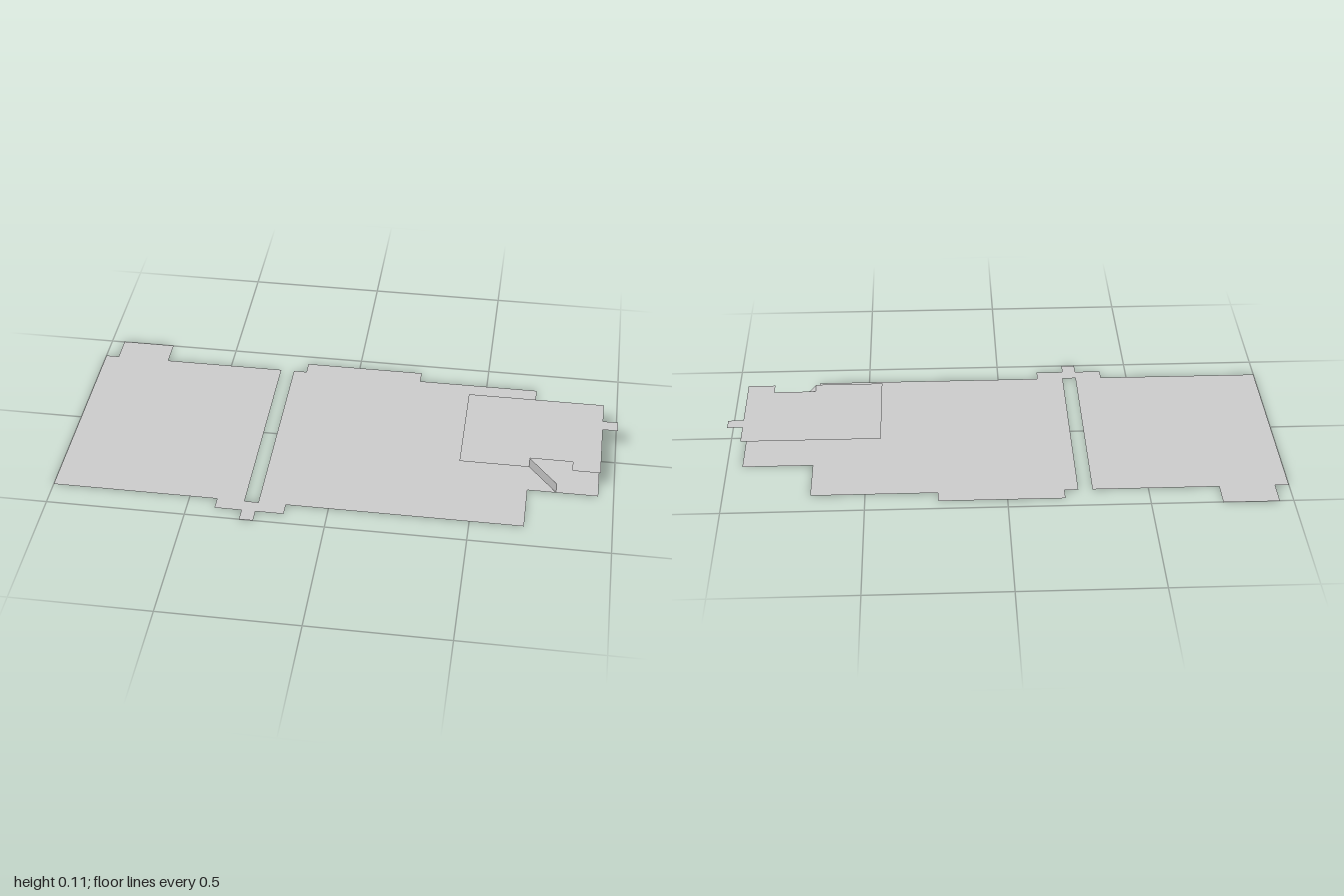
import * as THREE from 'three';

const material = new THREE.MeshStandardMaterial({
  color: 0xcccccc, side: THREE.DoubleSide, flatShading: true,
});

// Flat horizontal sheet from an outline of [x, z] points at height y
function sheet(name, points, y = 0) {
  const shape = new THREE.Shape(points.map(([x, z]) => new THREE.Vector2(x, -z)));
  const mesh = new THREE.Mesh(new THREE.ShapeGeometry(shape).rotateX(-Math.PI / 2), material);
  mesh.name = name;
  mesh.position.y = y;
  return mesh;
}

// Corners of a rectangle in x and z, counter-clockwise seen from above
const rect = (x0, x1, z0, z1) => [[x0, z1], [x1, z1], [x1, z0], [x0, z0]];

export function createModel() {
  const model = new THREE.Group();
  model.name = 'floorPlan';
  const upperY = 0.107;

  // Ground-level floors, with a narrow gap between the two large rooms
  model.add(
    sheet('sideRoomFloor', rect(-1, -0.302, -0.4, 0.4)),
    sheet('mainRoomFloor', rect(-0.252, 0.692, -0.4, 0.4)),
    sheet('annexFloor', rect(0.692, 0.945, -0.2, 0.2)),
  );

  // Narrow ledges outside the ground floors
  model.add(
    sheet('sideBackLedge', rect(-0.951, -0.752, -0.502, -0.4)),
    sheet('mainBackLedge', rect(-0.203, 0.243, -0.453, -0.4)),
    sheet('frontLedge', rect(-0.401, -0.153, 0.4, 0.45)),
    sheet('frontStep', rect(-0.304, -0.254, 0.45, 0.5)),
  );

  // Upper floor with a stairwell notch in its front edge, and a small ledge
  const notchStart = 0.692, notchEnd = 0.845, notchZ = 0.15;
  model.add(
    sheet('upperFloor', [
      [0.444, 0.2], [notchStart, 0.2], [notchStart, notchZ], [notchEnd, notchZ],
      [notchEnd, 0.2], [0.945, 0.2], [0.945, -0.2], [0.444, -0.2],
    ], upperY),
    sheet('upperLedge', rect(0.945, 1, -0.102, -0.052), upperY),
  );

  // Stair ramp falling from the notch to the annex floor
  const run = 0.103;
  const ramp = new THREE.Mesh(
    new THREE.PlaneGeometry(Math.hypot(run, upperY), 0.05).rotateX(-Math.PI / 2), material);
  ramp.name = 'stairRamp';
  ramp.position.set(notchStart + run / 2, upperY / 2, notchZ + 0.025);
  ramp.rotation.z = -Math.atan2(upperY, run);
  model.add(ramp);

  return model;
}
